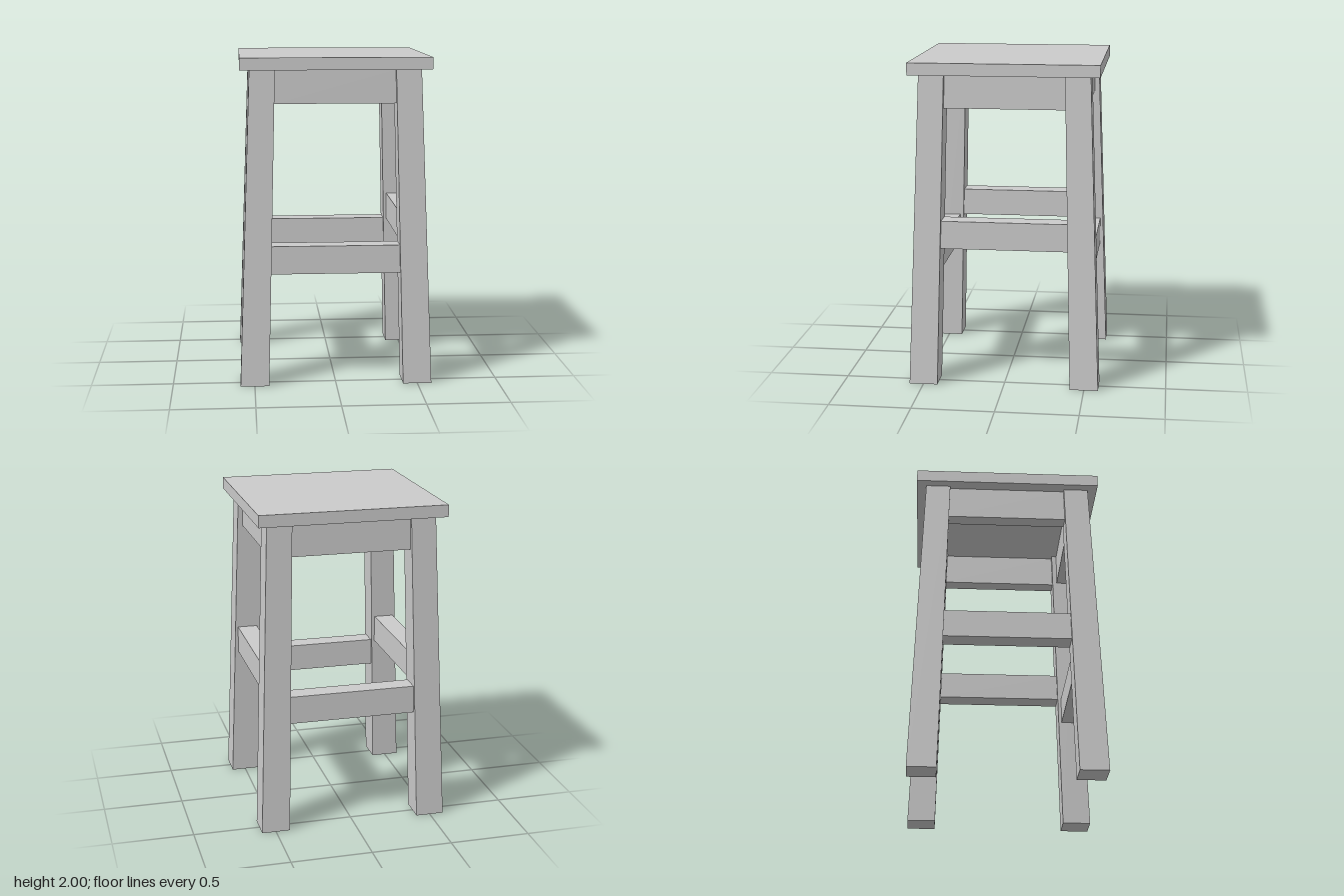
import * as THREE from 'three';

const SEAT_BOTTOM = 1.926;

// Inner and outer faces of a leg, measured from the centre line, at height y
const legInner = (y) => 0.412 - 0.049 * (y / SEAT_BOTTOM);
const legOuter = (y) => 0.587 - 0.071 * (y / SEAT_BOTTOM);

export function createModel() {
  const stool = new THREE.Group();
  stool.name = 'stool';
  const material = new THREE.MeshStandardMaterial({ color: 0xcccccc, flatShading: true });

  function add(name, geometry, x, y, z) {
    const mesh = new THREE.Mesh(geometry, material);
    mesh.name = name;
    mesh.position.set(x, y, z);
    stool.add(mesh);
    return mesh;
  }

  // Square seat board
  add('seat', new THREE.BoxGeometry(1.15, 2 - SEAT_BOTTOM, 1.15), 0, (2 + SEAT_BOTTOM) / 2, 0);

  // Tapered leg, leaning in towards the seat on both axes
  function legGeometry(sx, sz) {
    const geometry = new THREE.BoxGeometry(1, SEAT_BOTTOM, 1);
    geometry.translate(0, SEAT_BOTTOM / 2, 0);
    const p = geometry.attributes.position;
    for (let i = 0; i < p.count; i++) {
      const y = p.getY(i);
      const place = (v, s) => s * (v * s > 0 ? legOuter(y) : legInner(y));
      p.setXYZ(i, place(p.getX(i), sx), y, place(p.getZ(i), sz));
    }
    geometry.computeVertexNormals();
    return geometry;
  }
  for (const [front, sz] of [['front', 1], ['back', -1]]) {
    for (const [side, sx] of [['Left', 1], ['Right', -1]]) {
      add(`${front}${side}Leg`, legGeometry(sx, sz), 0, 0, 0);
    }
  }

  // Horizontal bar between two legs, centred in their thickness
  function addBar(name, side, bottom, top, thickness) {
    const y = (bottom + top) / 2;
    const offset = (legInner(y) + legOuter(y)) / 2;
    const length = 2 * (legInner(bottom) + 0.002);
    const angle = { front: 0, left: Math.PI / 2, back: Math.PI, right: -Math.PI / 2 }[side];
    const bar = add(`${side}${name}`, new THREE.BoxGeometry(length, top - bottom, thickness),
      Math.sin(angle) * offset, y, Math.cos(angle) * offset);
    bar.rotation.y = angle;
  }

  // Aprons under the seat, and stretchers set higher on the sides
  for (const side of ['front', 'left', 'back', 'right']) {
    const bottom = side === 'front' || side === 'back' ? 0.688 : 0.86;
    addBar('Apron', side, 1.72, SEAT_BOTTOM, 0.095);
    addBar('Stretcher', side, bottom, bottom + 0.172, 0.125);
  }

  return stool;
}
